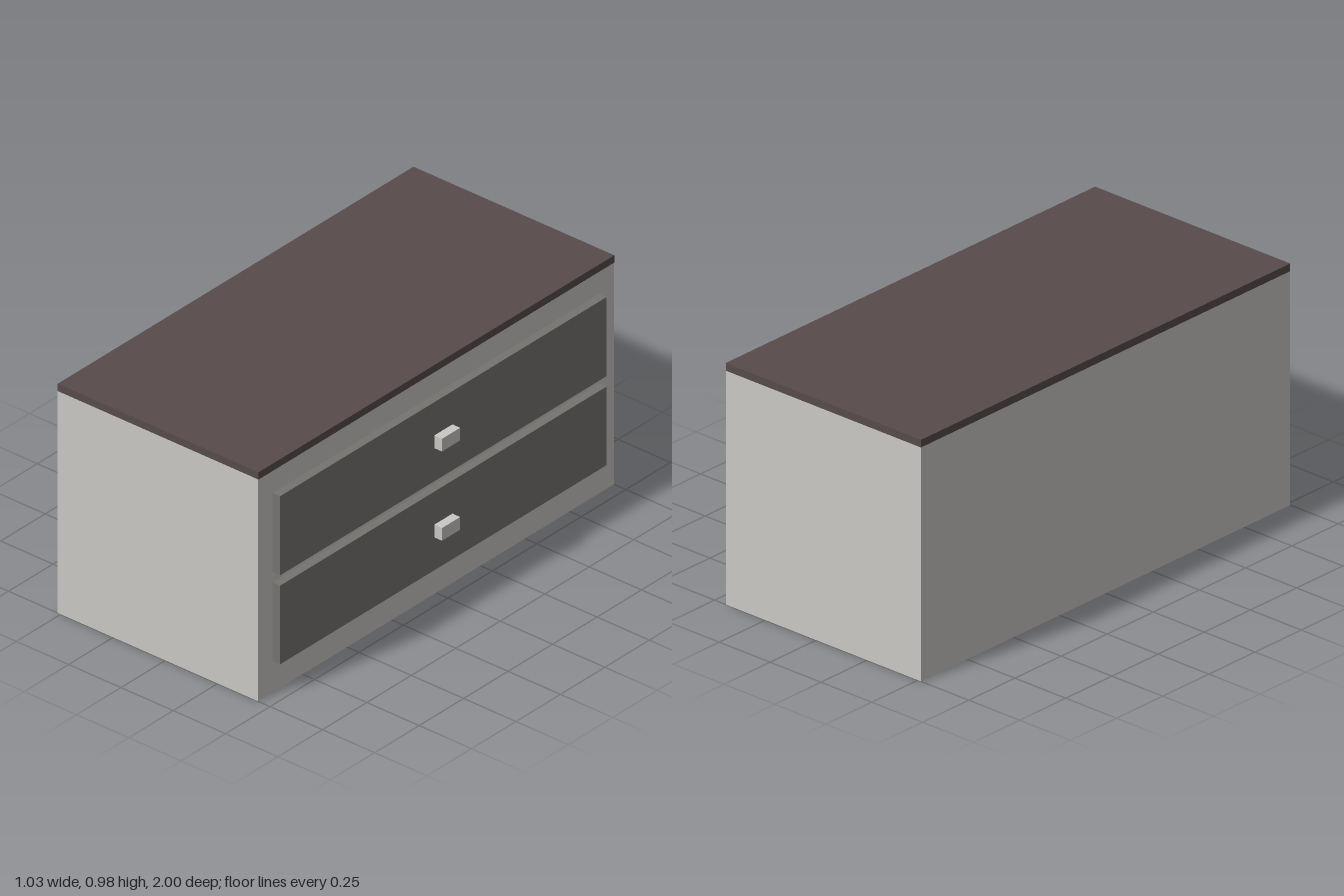
import * as THREE from 'three';

const material = (name, color) => {
  const m = new THREE.MeshStandardMaterial({ color });
  m.name = name;
  return m;
};

// Box given by its extents along each axis
function box(name, mat, [x0, x1], [y0, y1], [z0, z1]) {
  const mesh = new THREE.Mesh(new THREE.BoxGeometry(x1 - x0, y1 - y0, z1 - z0), mat);
  mesh.position.set((x0 + x1) / 2, (y0 + y1) / 2, (z0 + z1) / 2);
  mesh.name = name;
  return mesh;
}

export function createModel() {
  const paleGrey = material('paleGrey', 0xc9c8c3);
  const darkGrey = material('darkGrey', 0x767370);
  const darkBrown = material('darkBrown', 0x574b4a);

  const model = new THREE.Group();
  model.name = 'drawerCabinet';

  // Carcass and top board
  model.add(box('cabinetBody', paleGrey, [-0.515, 0.443], [0, 0.945], [-1, 1]));
  model.add(box('topBoard', darkBrown, [-0.515, 0.445], [0.945, 0.976], [-1, 1]));

  // Two drawers, each a raised front with a central block handle
  const drawers = [['lower', 0.133, 0.468], ['upper', 0.512, 0.849]];
  for (const [label, y0, y1] of drawers) {
    const drawer = new THREE.Group();
    drawer.name = `${label}Drawer`;
    const mid = (y0 + y1) / 2;
    drawer.add(box('drawerFront', darkGrey, [0.443, 0.478], [y0, y1], [-0.918, 0.918]));
    drawer.add(box('drawerHandle', paleGrey, [0.478, 0.515], [mid - 0.027, mid + 0.027], [-0.051, 0.051]));
    model.add(drawer);
  }
  return model;
}
